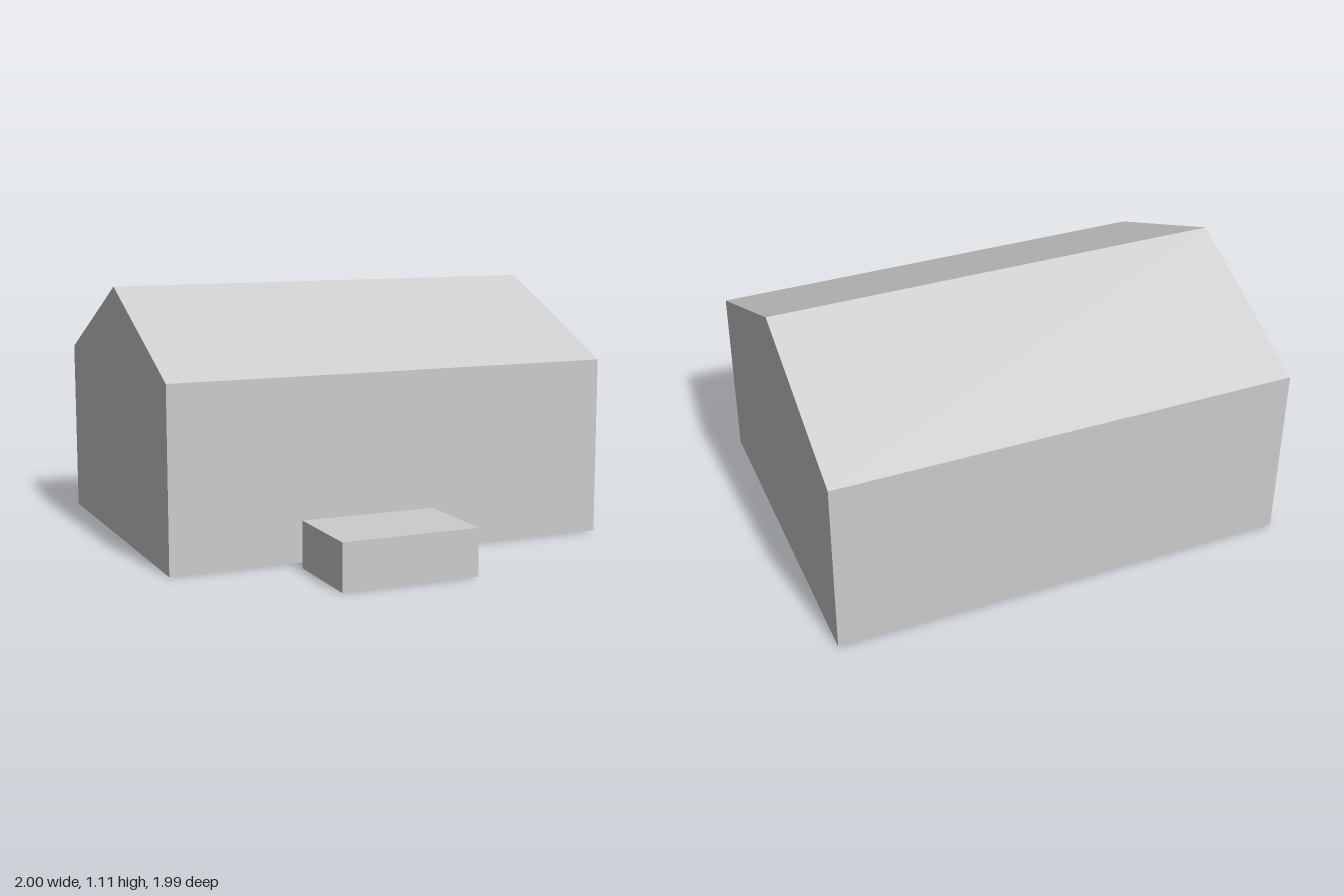
import * as THREE from 'three';

// Flat convex panel from corner points, counter-clockwise seen from outside
function panel(name, corners, material) {
  const geometry = new THREE.BufferGeometry();
  geometry.setAttribute('position', new THREE.Float32BufferAttribute(corners.flat(), 3));
  const index = [];
  for (let i = 1; i < corners.length - 1; i++) index.push(0, i, i + 1);
  geometry.setIndex(index);
  geometry.computeVertexNormals();
  const mesh = new THREE.Mesh(geometry, material);
  mesh.name = name;
  return mesh;
}

// Open-bottomed shell: a (z, y) end profile swept from x0 to x1.
// The profile runs from the front foot over the top to the back foot.
function shell(name, profile, x0, x1, stripNames, material) {
  const group = new THREE.Group();
  group.name = name;
  const at = (x) => profile.map(([z, y]) => [x, y, z]);
  const right = at(x0), left = at(x1);
  stripNames.forEach((strip, i) => {
    group.add(panel(strip, [right[i], left[i], left[i + 1], right[i + 1]], material));
  });
  group.add(panel('leftWall', [...left].reverse(), material));
  group.add(panel('rightWall', right, material));
  return group;
}

export function createModel() {
  const grey = new THREE.MeshStandardMaterial({ color: 0xcccccc, side: THREE.DoubleSide });
  grey.name = 'plain grey';

  const model = new THREE.Group();
  model.name = 'gabledBuilding';

  // Main building with a gable roof
  const house = [[0.505, 0], [0.505, 0.78], [-0.245, 1.113], [-0.995, 0.78], [-0.995, 0]];
  model.add(shell('house', house, -1, 1, ['frontWall', 'frontRoof', 'backRoof', 'backWall'], grey));

  // Low detached block in front
  const block = [[0.995, 0], [0.995, 0.2], [0.593, 0.2], [0.593, 0]];
  model.add(shell('frontBlock', block, -0.46, 0.135, ['frontWall', 'top', 'backWall'], grey));

  return model;
}
